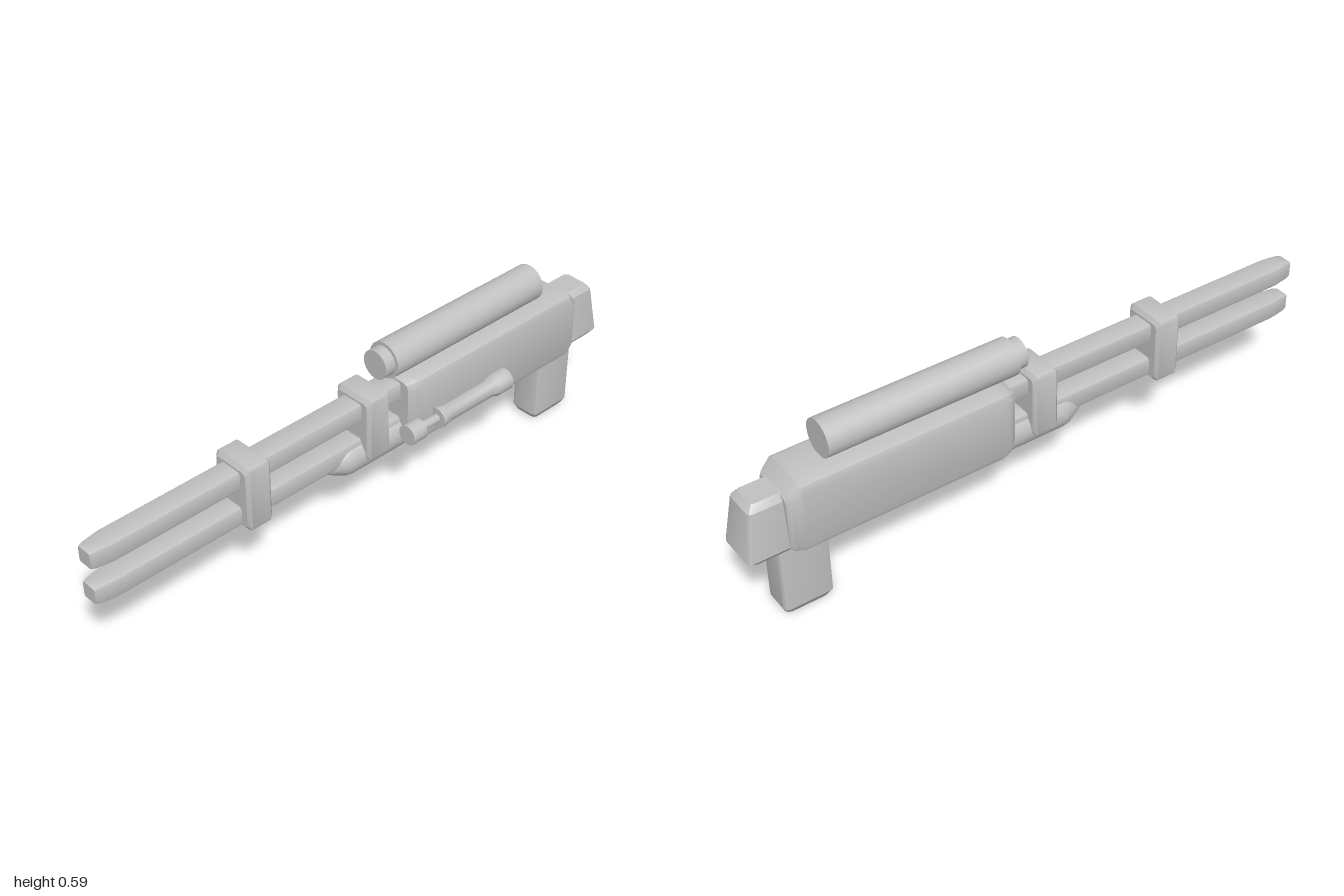
import * as THREE from 'three';
import { toCreasedNormals } from 'three/addons/utils/BufferGeometryUtils.js';

const CX = -0.028; // shared centre line of the main parts

// Closed solid through bevelled rectangles, each [z, halfWidth, y0, y1, corner]
function loft(sections) {
  const pos = [], idx = [], seg = 2, n = 4 * (seg + 1);
  for (const [z, h, y0, y1, c] of sections) {
    const centres = [[h - c, y1 - c], [c - h, y1 - c], [c - h, y0 + c], [h - c, y0 + c]];
    centres.forEach(([x, y], q) => {
      for (let i = 0; i <= seg; i++) {
        const a = (q + i / seg) * Math.PI / 2;
        pos.push(x + c * Math.cos(a), y + c * Math.sin(a), z);
      }
    });
  }
  const last = (sections.length - 1) * n;
  for (let s = 0; s < last; s += n) {
    for (let i = 0; i < n; i++) {
      const j = (i + 1) % n;
      idx.push(s + i, s + j, s + n + j, s + i, s + n + j, s + n + i);
    }
  }
  for (let i = 1; i < n - 1; i++) {
    idx.push(0, i + 1, i, last, last + i, last + i + 1);
  }
  const g = new THREE.BufferGeometry();
  g.setAttribute('position', new THREE.Float32BufferAttribute(pos, 3));
  g.setIndex(idx);
  return toCreasedNormals(g, 0.5);
}

// Turned part along z from [z, radius] points, listed back to front
function turned(points, sides) {
  const g = new THREE.LatheGeometry(points.map(([z, r]) => new THREE.Vector2(r, z)), sides);
  g.rotateX(Math.PI / 2);
  return toCreasedNormals(g, 0.6);
}

export function createModel() {
  const group = new THREE.Group();
  const grey = new THREE.MeshStandardMaterial({ color: 0xc0c0c0 });
  grey.name = 'light grey';

  const add = (name, geometry, x = CX, y = 0, z = 0) => {
    const mesh = new THREE.Mesh(geometry, grey);
    mesh.name = name;
    mesh.position.set(x, y, z);
    group.add(mesh);
  };

  // Main housing with softened ends
  add('body', loft([
    [-0.872, 0.072, 0.255, 0.44, 0.02],
    [-0.862, 0.082, 0.245, 0.45, 0.025],
    [-0.83, 0.091, 0.24, 0.476, 0.026],
    [-0.17, 0.092, 0.24, 0.476, 0.026],
    [-0.14, 0.086, 0.249, 0.473, 0.026],
    [-0.12, 0.072, 0.268, 0.462, 0.02],
  ]));

  // Twin long rails with tapered tips
  for (const [name, y0] of [['upperRail', 0.39], ['lowerRail', 0.265]]) {
    const y1 = y0 + 0.065;
    add(name, loft([
      [-0.2, 0.04, y0, y1, 0.011],
      [0.93, 0.039, y0, y1, 0.011],
      [0.985, 0.031, y0 + 0.002, y1 - 0.002, 0.009],
      [1.0, 0.026, y0 + 0.006, y1 - 0.006, 0.006],
    ]));
  }

  // Clamps joining the rails
  for (const [name, z] of [['rearClamp', -0.005], ['frontClamp', 0.457]]) {
    add(name, loft([
      [-0.045, 0.062, 0.267, 0.462, 0.012],
      [-0.034, 0.072, 0.255, 0.475, 0.014],
      [0.034, 0.072, 0.255, 0.475, 0.014],
      [0.045, 0.062, 0.267, 0.462, 0.012],
    ]), CX, 0, z);
  }

  // Sighting tube on top
  add('scope', turned([
    [-0.722, 0], [-0.722, 0.06], [-0.09, 0.06], [-0.09, 0.048], [-0.053, 0.048], [-0.053, 0],
  ], 20), CX, 0.533);

  // Pointed tube underneath
  add('underTube', turned([
    [-0.435, 0], [-0.435, 0.06], [0.08, 0.06], [0.1, 0.056], [0.21, 0],
  ], 24), CX, 0.267);

  // Side handle with a thin neck
  add('sideHandle', turned([
    [-0.51, 0], [-0.51, 0.036], [-0.455, 0.036], [-0.425, 0.026], [-0.25, 0.026],
    [-0.215, 0.034], [-0.207, 0.034], [-0.207, 0.014], [-0.135, 0.014],
    [-0.135, 0.033], [-0.08, 0.033], [-0.08, 0],
  ], 20), 0.082, 0.32);

  // Upright grip: sections run up y, with depth measured backwards
  add('grip', loft([
    [0, 0.037, 0.757, 0.885, 0.012],
    [0.006, 0.041, 0.75, 0.892, 0.013],
    [0.024, 0.051, 0.74, 0.9, 0.014],
    [0.3, 0.051, 0.74, 0.9, 0.014],
  ]).rotateX(-Math.PI / 2));

  // Wedge-shaped rear stock
  add('stock', loft([
    [0.25, 0.058, 0.86, 0.98, 0.012],
    [0.268, 0.071, 0.845, 1.0, 0.014],
    [0.425, 0.057, 0.845, 0.975, 0.014],
    [0.445, 0.041, 0.855, 0.958, 0.012],
  ]).rotateX(-Math.PI / 2));

  return group;
}
